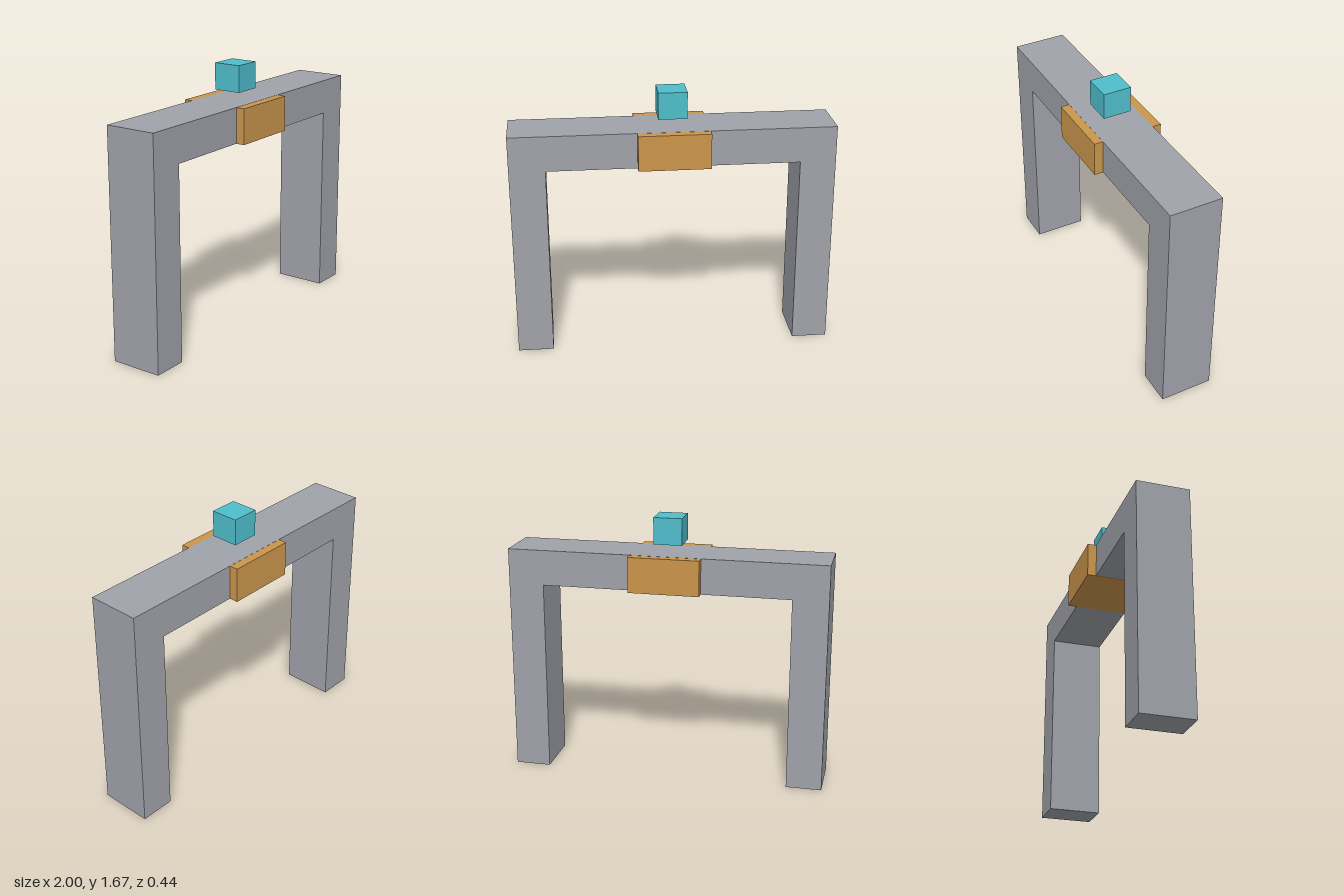
import * as THREE from 'three';

const stone = new THREE.MeshStandardMaterial({ color: 0xa0a2aa });
stone.name = 'grey stone';
const bronze = new THREE.MeshStandardMaterial({ color: 0xca954c });
bronze.name = 'bronze';
const crystal = new THREE.MeshStandardMaterial({ color: 0x4fbdcb });
crystal.name = 'cyan crystal';

const HALF = 1, TOP = 1.444, THICK = 0.222, DEPTH = 0.333;

function box(name, w, h, d, y, material) {
  const mesh = new THREE.Mesh(new THREE.BoxGeometry(w, h, d), material);
  mesh.name = name;
  mesh.position.y = y;
  return mesh;
}

export function createModel() {
  const group = new THREE.Group();
  group.name = 'gateway';

  // Two legs and the lintel as one continuous outline
  const inner = HALF - THICK, soffit = TOP - THICK;
  const outline = new THREE.Shape([
    [-HALF, 0], [-inner, 0], [-inner, soffit], [inner, soffit],
    [inner, 0], [HALF, 0], [HALF, TOP], [-HALF, TOP],
  ].map(([x, y]) => new THREE.Vector2(x, y)));
  const frameGeometry = new THREE.ExtrudeGeometry(outline, { depth: DEPTH, bevelEnabled: false });
  frameGeometry.translate(0, 0, -DEPTH / 2);
  const frame = new THREE.Mesh(frameGeometry, stone);
  frame.name = 'archFrame';
  group.add(frame);

  // Keystone block through the lintel, a hair lower so its faces stay clear of the frame's
  group.add(box('keystone', 0.444, THICK, 0.444, TOP - THICK / 2 - 0.001, bronze));

  // Cube floating above the keystone
  group.add(box('floatingCube', 0.178, 0.167, 0.178, 1.583, crystal));

  return group;
}
